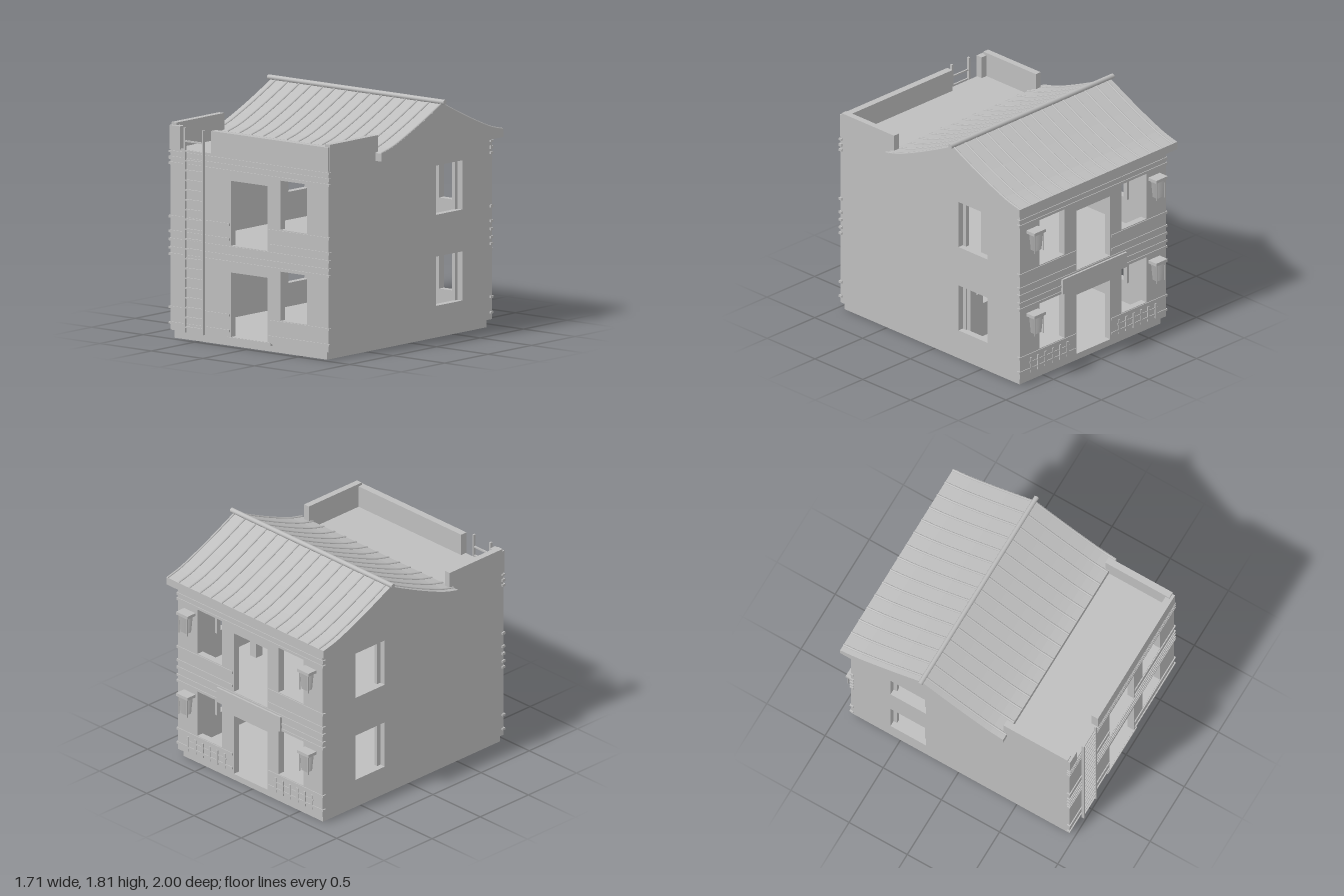
import * as THREE from 'three';

export function createModel() {
  const model = new THREE.Group();
  const plaster = new THREE.MeshStandardMaterial({ color: 0xbdbdbd });
  plaster.name = 'plain grey';

  const add = (name, geometry, parent = model) => {
    const mesh = new THREE.Mesh(geometry, plaster);
    mesh.name = name;
    parent.add(mesh);
    return mesh;
  };
  const group = (name) => {
    const g = new THREE.Group();
    g.name = name;
    model.add(g);
    return g;
  };
  // Box given by its lower and upper limits on each axis
  const box = (name, x0, x1, y0, y1, z0, z1, parent) => {
    const m = add(name, new THREE.BoxGeometry(x1 - x0, y1 - y0, z1 - z0), parent);
    m.position.set((x0 + x1) / 2, (y0 + y1) / 2, (z0 + z1) / 2);
    return m;
  };
  const rectangle = (Type, [a, b, c, d]) => {
    const s = new Type();
    s.moveTo(a, c);
    s.lineTo(b, c);
    s.lineTo(b, d);
    s.lineTo(a, d);
    s.closePath();
    return s;
  };
  // Wall panel with rectangular openings, extruded along z
  const panel = (outline, holes, depth) => {
    const s = rectangle(THREE.Shape, outline);
    holes.forEach((h) => s.holes.push(rectangle(THREE.Path, h)));
    return new THREE.ExtrudeGeometry(s, { depth, bevelEnabled: false });
  };

  // Plinth, floors and terrace
  box('plinth', -0.74, 0.74, 0, 0.06, -0.885, 0.95);
  box('groundFloor', -0.74, 0.74, 0.055, 0.068, -0.89, 0.94);
  box('upperFloor', -0.71, 0.71, 0.64, 0.72, -0.87, 0.92);
  box('terrace', -0.71, 0.71, 1.37, 1.43, -0.87, 0.92);
  box('doorStep', -0.215, 0.21, 0.045, 0.068, 0.9, 0.972);

  // Outer walls
  const t = 0.055, W = 0.765, F = 0.965, B = -0.915;
  const doors = [[-0.18, 0.175, 0.07, 0.555], [-0.18, 0.175, 0.757, 1.245]];
  const windows = [[0.3, 0.56, 0.245, 0.615], [0.3, 0.56, 0.93, 1.3]];
  const mirrored = windows.map(([a, b, c, d]) => [-b, -a, c, d]);
  const outline = [-W, W, 0.06, 1.43];
  add('frontWall', panel(outline, [...doors, ...windows], t)).position.z = F - t;
  add('backWall', panel(outline, [...doors, ...windows, ...mirrored], t)).position.z = B;
  const sideHoles = [[-0.575, -0.27, 0.245, 0.615], [-0.575, -0.27, 0.93, 1.3]];
  for (const s of [1, -1]) {
    const wall = add(s > 0 ? 'leftWall' : 'rightWall',
      panel([B + t, F - t, 0.06, 1.43], sideHoles, t).rotateY(-Math.PI / 2));
    wall.position.x = s > 0 ? W : -W + t;
    // Jambs set back in the side windows
    for (const [a, b, c, d] of sideHoles) {
      const x0 = s > 0 ? 0.69 : -0.72;
      box('windowJamb', x0, x0 + 0.03, c, d, a - 0.01, a + 0.03);
      box('windowJamb', x0, x0 + 0.03, c, d, b - 0.035, b + 0.01);
    }
  }

  // Horizontal mouldings that wrap the corners and stop at openings
  const mouldings = group('mouldings');
  const bands = [[0.105, 0.122], [0.222, 0.24], [0.622, 0.64], [0.67, 0.688], [0.732, 0.752],
    [0.793, 0.812], [0.903, 0.923], [1.305, 1.325], [1.345, 1.368], [1.395, 1.41]];
  for (const [y0, y1] of bands) {
    const blocked = doors.some((d) => y1 > d[2] && y0 < d[3]);
    const spans = blocked ? [[-0.776, -0.19], [0.185, 0.776]] : [[-0.776, 0.776]];
    for (const [a, b] of spans) {
      box('frontMoulding', a, b, y0, y1, 0.945, 0.973, mouldings);
      box('backMoulding', a, b, y0, y1, -0.921, -0.89, mouldings);
    }
  }

  // Parapet round the terrace, with a gap for the ladder
  for (const s of [1, -1]) {
    const x = s * 0.745;
    box('sideParapet', x - 0.025, x + 0.025, 1.42, 1.62, 0.4, 0.95);
  }
  box('frontParapet', -0.365, 0.765, 1.42, 1.6, 0.917, 0.972);
  box('parapetReturn', -0.77, -0.67, 1.42, 1.6, 0.917, 0.97);

  // Roof with concave slopes
  const half = [[0.7, 1.49], [0.57, 1.522], [0.42, 1.58], [0.27, 1.645], [0.13, 1.711], [0, 1.775]];
  const ridgeZ = -0.27;
  const slope = (s) => new THREE.CatmullRomCurve3(
    half.map(([d, y]) => new THREE.Vector3(0, y, ridgeZ + s * d)));
  const roofShape = new THREE.Shape();
  roofShape.moveTo(ridgeZ - 0.7, 1.43);
  roofShape.lineTo(ridgeZ + 0.7, 1.43);
  slope(1).getPoints(12).forEach((p) => roofShape.lineTo(p.z, p.y));
  slope(-1).getPoints(12).reverse().slice(1).forEach((p) => roofShape.lineTo(p.z, p.y));
  roofShape.closePath();
  const roof = group('roof');
  const roofBody = add('roofBody', new THREE.ExtrudeGeometry(roofShape,
    { depth: 1.66, bevelEnabled: false }).rotateY(-Math.PI / 2), roof);
  roofBody.position.x = 0.83;
  for (const s of [1, -1]) {
    const rib = new THREE.TubeGeometry(slope(s), 14, 0.009, 6, false);
    for (let i = 0; i < 15; i++) {
      add('roofRib', rib, roof).position.x = -0.78 + 0.1143 * i;
    }
  }
  const ridge = add('ridge', new THREE.CylinderGeometry(0.019, 0.019, 1.71, 12).rotateZ(Math.PI / 2), roof);
  ridge.position.set(0, 1.787, ridgeZ);

  // Ladder
  const ladder = group('ladder');
  for (const x of [-0.605, -0.427]) {
    box('ladderRail', x - 0.007, x + 0.007, 0.06, 1.6, 0.978, 0.998, ladder);
  }
  for (let i = 0; i < 20; i++) {
    const y = 0.1 + i * 0.0737;
    box('ladderRung', -0.605, -0.427, y - 0.006, y + 0.006, 0.982, 0.994, ladder);
  }

  // Hanging lamps on the back wall
  for (const x of [-0.64, 0.64]) {
    for (const y of [0.57, 1.25]) {
      const lamp = group('wallLamp');
      lamp.position.set(x, y, -0.957);
      const body = new THREE.CylinderGeometry(0.06, 0.045, 0.14, 4).rotateY(Math.PI / 4);
      body.scale(1, 1, 0.75);
      add('lampBody', body, lamp).position.y = -0.08;
      box('lampCap', -0.06, 0.06, -0.012, 0.012, -0.042, 0.042, lamp);
      for (const s of [-1, 1]) {
        box('lampStrut', s * 0.045 - 0.004, s * 0.045 + 0.004, -0.16, 0, -0.034, -0.026, lamp);
      }
    }
  }

  // Board and railings on the back wall
  box('backBoard', -0.335, 0.335, 0.62, 0.74, -0.937, -0.91);
  for (const s of [1, -1]) {
    const railing = group('railing');
    for (let i = 0; i < 6; i++) {
      const x = s * (0.27 + i * 0.077);
      box('baluster', x - 0.009, x + 0.009, 0.085, 0.205, -0.923, -0.905, railing);
    }
    const c = s * 0.46;
    box('handRail', c - 0.21, c + 0.21, 0.16, 0.172, -0.92, -0.905, railing);
  }

  // Inner stairs and post
  const stairs = group('stairs');
  for (let i = 0; i < 5; i++) {
    const x = 0.385 + i * 0.065, top = 0.25 + i * 0.09;
    box('stairTread', x, 0.71, top - 0.09, top, -0.34, -0.05, stairs);
  }
  box('innerPost', 0.495, 0.56, 0.72, 1.38, -0.37, -0.3);

  return model;
}
